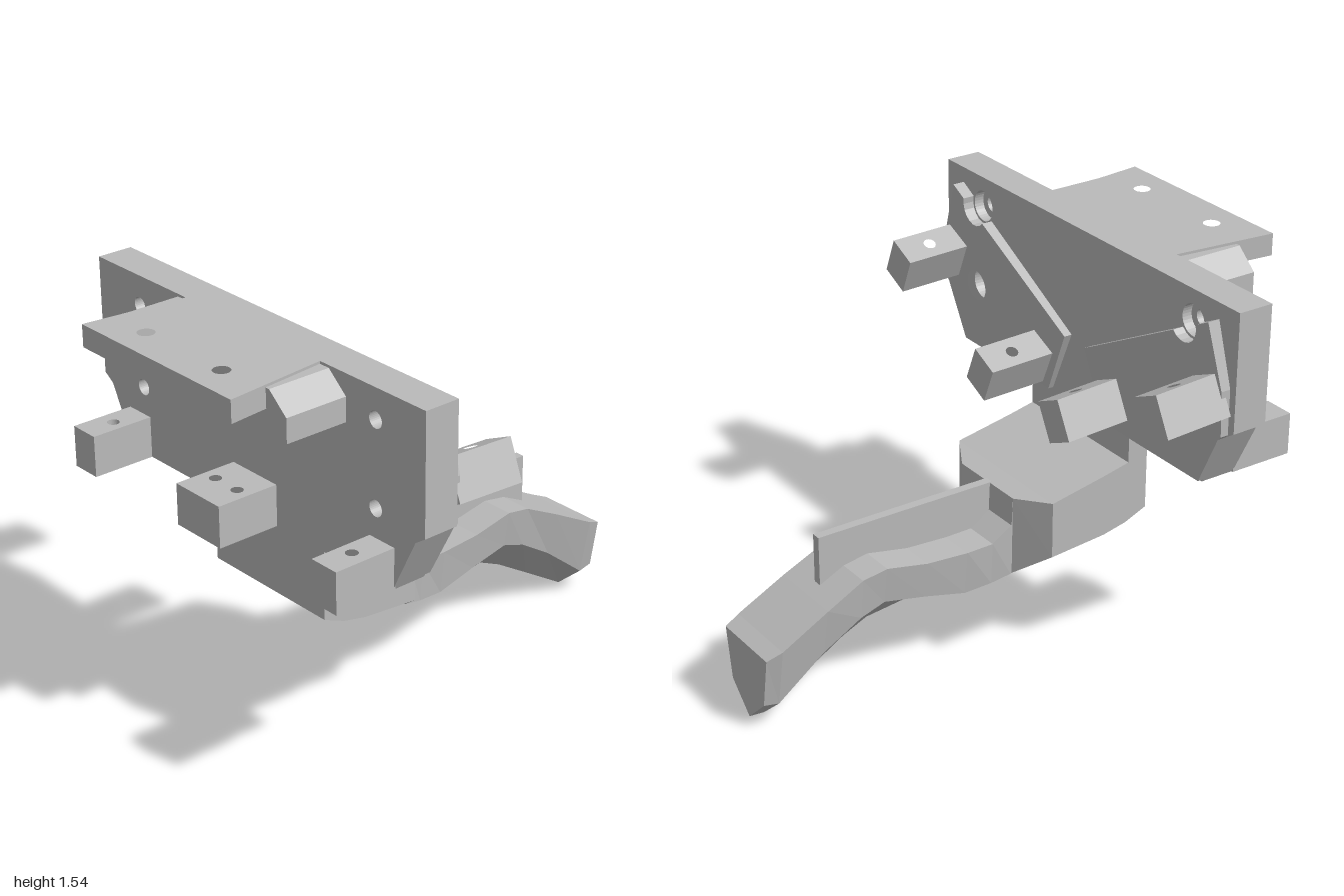
import * as THREE from 'three';

const grey = new THREE.MeshStandardMaterial({ color: 0xbababa });
grey.name = 'plain grey';

const shapeOf = (pts, holes = []) => {
  const s = new THREE.Shape(pts.map(([x, y]) => new THREE.Vector2(x, y)));
  for (const [x, y, r] of holes) s.holes.push(new THREE.Path().absarc(x, y, r, 0, Math.PI * 2, true));
  return s;
};
const prism = (pts, depth, holes) =>
  new THREE.ExtrudeGeometry(shapeOf(pts, holes), { depth, bevelEnabled: false, curveSegments: 16 });

// Outline in x and z, raised from y0 to y1
const slab = (pts, y0, y1, holes = []) =>
  prism(pts.map(([x, z]) => [x, -z]), y1 - y0, holes.map(([x, z, r]) => [x, -z, r]))
    .rotateX(-Math.PI / 2).translate(0, y0, 0);
const rect = (x0, x1, z0, z1) => [[x0, z0], [x1, z0], [x1, z1], [x0, z1]];

// Skin over five-sided sections: [z, topHalfWidth, topY, midHalfWidth, midY, keelY]
function loft(sections) {
  const rings = sections.map(([z, wt, t, wm, m, b]) =>
    [[wt, t, z], [-wt, t, z], [-wm, m, z], [0, b, z], [wm, m, z]]);
  const pos = [];
  const tri = (a, b, c) => pos.push(...a, ...b, ...c);
  for (let i = 0; i < rings.length - 1; i++) {
    for (let j = 0; j < 5; j++) {
      const k = (j + 1) % 5;
      const a = rings[i][j], b = rings[i][k], c = rings[i + 1][j], d = rings[i + 1][k];
      tri(a, c, b);
      tri(b, c, d);
    }
  }
  const end = rings[rings.length - 1];
  for (let j = 1; j < 4; j++) tri(end[0], end[j + 1], end[j]);
  const g = new THREE.BufferGeometry();
  g.setAttribute('position', new THREE.Float32BufferAttribute(pos, 3));
  g.computeVertexNormals();
  return g;
}

export function createModel() {
  const model = new THREE.Group();
  model.name = 'bracket';
  const add = (name, geometry) => {
    const mesh = new THREE.Mesh(geometry, grey);
    mesh.name = name;
    model.add(mesh);
    return mesh;
  };

  // Main plate in two layers, so that the bolt holes widen at the back
  const half = [[0.72, 0.84], [0.83, 1.06], [0.875, 1.09], [0.875, 1.545]];
  const outline = [...half, ...half.map(([x, y]) => [-x, y]).reverse()];
  const bolts = (r) => [-1, 1].flatMap((s) => [[s * 0.635, 1.43, r], [s * 0.635, 1.11, r]]);
  add('plateFront', prism(outline, 0.1, bolts(0.031)).translate(0, 0, 0.495));
  add('plateBack', prism(outline, 0.04, bolts(0.06)).translate(0, 0, 0.455));

  // Top shelf
  add('topShelf', slab([[-0.36, 0.59], [0.36, 0.59], [0.405, 1], [-0.405, 1]], 1.46, 1.545,
    [[-0.205, 0.88, 0.032], [0.205, 0.88, 0.032]]));

  // Front tabs
  add('centreTab', slab(rect(-0.118, 0.118, 0.59, 0.845), 0.84, 1,
    [[-0.06, 0.72, 0.023], [0.06, 0.72, 0.023]]));

  for (const s of [-1, 1]) {
    const side = s > 0 ? 'left' : 'right';
    add(side + 'Tab', slab(rect(s * 0.605, s * 0.727, 0.59, 0.845), 0.84, 1, [[s * 0.66, 0.72, 0.023]]));

    // Shelf gusset with sloping top
    const gusset = [[0.4, 1.37], [0.49, 1.37], [0.49, 1.462], [0.405, 1.535], [0.36, 1.535], [0.36, 1.462], [0.4, 1.462]];
    add(side + 'Gusset', prism(gusset.map(([x, y]) => [s * x, y]), 0.25).translate(0, 0, 0.595));

    // Raised pad on the back, notched round the upper bolt, sloping slightly
    const notch = [];
    for (let i = 0; i <= 8; i++) {
      const a = -2.45 + (2.73 * i) / 8;
      notch.push([0.635 + 0.07 * Math.cos(a), 1.43 + 0.07 * Math.sin(a)]);
    }
    const padPts = [[0.06, 1.11], ...notch, [0.77, 1.485], [0.845, 1.25], [0.845, 1.075],
      [0.83, 1.06], [0.725, 0.85], [0.17, 0.85]];
    const pad = prism(padPts.map(([x, y]) => [s * x, y]), 1, [[s * 0.635, 1.11, 0.06]]);
    const p = pad.attributes.position;
    for (let i = 0; i < p.count; i++) {
      p.setZ(i, p.getZ(i) > 0.5 ? 0.456 : 0.433 - 0.04 * (p.getY(i) - 0.84));
    }
    pad.computeVertexNormals();
    add(side + 'BackPad', pad);

    // Tilted rear lugs with a hole through each
    for (const [name, x, y] of [['OuterLug', 0.785, 1.203], ['InnerLug', 0.232, 0.96]]) {
      const lug = add(side + name, slab(rect(-0.0635, 0.0635, -0.125, 0.15), -0.079, 0.079, [[0, 0, 0.024]])
        .rotateX(-0.04));
      lug.position.set(s * x, y, 0.287);
      lug.rotation.z = s * 0.43;
    }
  }

  // Curved neck under the plate: side profile in z and y
  const neck = [[0.54, 0.86], [0.54, 0.523], [0.45, 0.485], [0.35, 0.463], [0.115, 0.443],
    [0.115, 0.665], [0.35, 0.71], [0.455, 0.733], [0.455, 0.86]];
  add('neck', prism(neck, 0.604).rotateY(-Math.PI / 2).translate(0.302, 0, 0));

  // Tapering shoulder and wavy tail with a keel
  add('tail', loft([
    [0.115, 0.302, 0.665, 0.302, 0.443, 0.443],
    [0.035, 0.165, 0.65, 0.16, 0.335, 0.33],
    [0.03, 0.165, 0.54, 0.16, 0.333, 0.327],
    [-0.05, 0.16, 0.485, 0.15, 0.315, 0.285],
    [-0.16, 0.16, 0.483, 0.14, 0.305, 0.255],
    [-0.33, 0.155, 0.492, 0.135, 0.345, 0.27],
    [-0.5, 0.152, 0.525, 0.13, 0.378, 0.25],
    [-0.6, 0.15, 0.508, 0.13, 0.345, 0.205],
    [-0.75, 0.155, 0.435, 0.12, 0.25, 0.115],
    [-0.94, 0.158, 0.335, 0.115, 0.1, 0],
    [-1, 0.145, 0.31, 0.112, 0.11, 0.005],
  ]));

  // Thin upright web along the tail
  const web = [[0.05, 0.4], [0.05, 0.652], [-0.7, 0.652], [-0.7, 0.42], [-0.5, 0.42]];
  add('web', prism(web, 0.036).rotateY(-Math.PI / 2).translate(0.018, 0, 0));

  return model;
}
